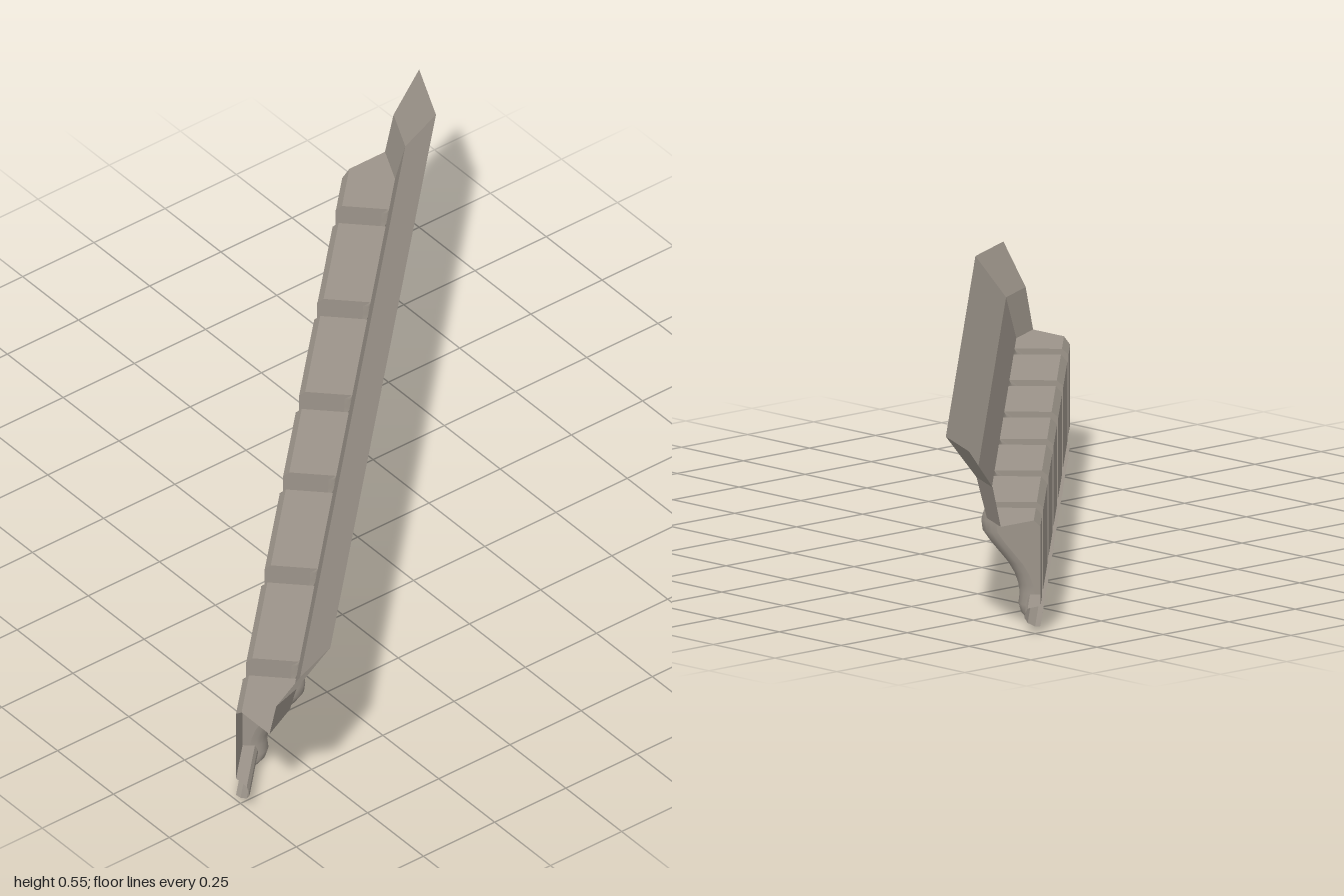
import * as THREE from 'three';

// Diagonal frame: d runs along the ledge (x - z), s runs outward (x + z).
const P = (d, s, y) => [(s + d) / 2, y, (s - d) / 2];

const stone = new THREE.MeshStandardMaterial({ color: 0x9c948a, side: THREE.DoubleSide });
stone.name = 'warm grey stone';

const BACK = -0.27, LIP = -0.245, FRONT = -0.06;
const FLOOR = 0.075, CEILING = 0.32;
const GAPS = [-1.46, -0.86, -0.26, 0.26, 0.86, 1.46];
const HALF = 0.055;

// Scroll profile: height, crest position, setback of the two side edges
const SCROLL = [
  [0.32, -0.06, 0], [0.305, -0.04, 0.05], [0.28, -0.03, 0.06], [0.25, -0.035, 0.06],
  [0.22, -0.065, 0.06], [0.19, -0.1, 0.06], [0.16, -0.135, 0.06], [0.13, -0.16, 0.06],
  [0.1, -0.175, 0.06], [0.075, -0.18, 0.06], [0.045, -0.175, 0.05], [0.02, -0.185, 0.04],
  [0.005, -0.205, 0.03], [0, -0.23, 0.02], [0.01, -0.27, 0],
];

// Sheet through rows of points, smooth or faceted
function sheet(rows, smooth = false) {
  const n = rows[0].length, index = [];
  for (let i = 0; i < rows.length - 1; i++) {
    for (let j = 0; j < n - 1; j++) {
      const a = i * n + j, b = a + n;
      index.push(a, b, a + 1, b, b + 1, a + 1);
    }
  }
  let geo = new THREE.BufferGeometry();
  geo.setAttribute('position', new THREE.Float32BufferAttribute(rows.flat(2), 3));
  geo.setIndex(index);
  if (!smooth) geo = geo.toNonIndexed();
  geo.computeVertexNormals();
  return geo;
}

export function createModel() {
  const model = new THREE.Group();
  model.name = 'ledge';
  const add = (name, rows, smooth) => {
    const mesh = new THREE.Mesh(sheet(rows, smooth), stone);
    mesh.name = name;
    model.add(mesh);
  };

  // Flared cornice with mitred ends: [y, front s, corner d, end s, end d]
  const flare = [
    [0.55, 0.1, 1.72, 0, 2],
    [0.435, -0.02, 1.714, -0.09, 1.91],
    [CEILING, FRONT, 1.712, -0.12, 1.88],
  ];
  add('flaredCornice', flare.map(([y, s, d, se, de]) =>
    [P(-de, se, y), P(-d, s, y), P(d, s, y), P(de, se, y)]));

  // Half-round moulding along the foot, cut off square to the axes at each end
  const foot = [[BACK, FLOOR], [-0.222, FLOOR], [-0.212, 0.062], [-0.21, 0.05],
    [-0.222, 0.034], [-0.25, 0.02], [BACK, 0.018]];
  add('footMoulding', foot.map(([s, y]) => [P(-2 - s, s, y), P(2 + s, s, y)]));

  // Niches between the brackets: back panel, chamfer and ceiling
  const profile = [[BACK, FLOOR, 1.73], [BACK, 0.3, 1.73], [LIP, CEILING, 1.755],
    [-0.12, CEILING, 1.88], [FRONT, CEILING, 1.712]];
  for (let i = 0; i <= GAPS.length; i++) {
    add('niche', profile.map(([s, y, end]) => [
      P(i === 0 ? -end : GAPS[i - 1] + HALF, s, y),
      P(i === GAPS.length ? end : GAPS[i] - HALF, s, y),
    ]));
  }

  for (const centre of GAPS) {
    // Rounded scroll bracket
    add('scrollBracket', SCROLL.map(([y, crest, setback]) => {
      const row = [];
      for (let k = 0; k <= 8; k++) {
        const a = Math.PI * k / 8;
        const s = Math.max(BACK, crest - setback * (1 - Math.sin(a)));
        row.push(P(centre - HALF * Math.cos(a), s, y));
      }
      return row;
    }), true);

    // Niche side walls running from the back panel to the bracket edges
    for (const side of [-1, 1]) {
      const d = centre + side * HALF;
      add('nicheSideWall', SCROLL.filter(([y]) => y >= FLOOR).map(([y, crest, setback]) =>
        [P(d, y > 0.31 ? LIP : BACK, y), P(d, crest - setback, y)]));
    }
  }
  return model;
}
